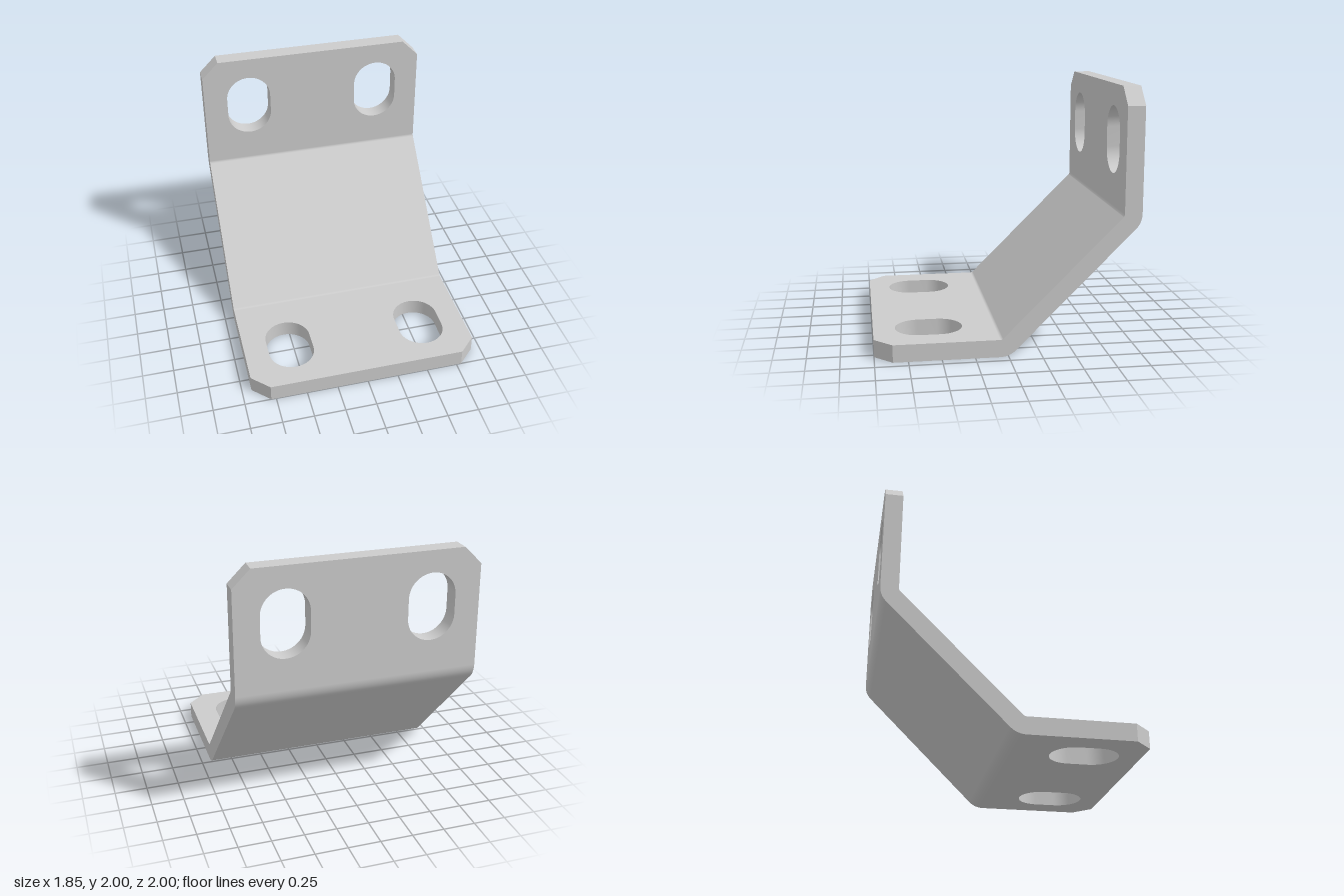
import * as THREE from 'three';
import { toCreasedNormals } from 'three/addons/utils/BufferGeometryUtils.js';

const W = 0.925;            // half width
const T = 0.135;            // plate thickness
const L = 0.936;            // flange length up to the bend
const CH = 0.135;           // corner chamfer
const R_IN = 0.03, R_OUT = R_IN + T; // bend radii

// Flat flange with chamfered far corners and two slots; the seam edge is at y = 0
function flangeGeometry() {
  const shape = new THREE.Shape([
    [-W, 0], [W, 0], [W, L - CH], [W - CH, L], [-W + CH, L], [-W, L - CH],
  ].map(([x, y]) => new THREE.Vector2(x, y)));
  const r = 0.183, half = 0.077, cy = 0.508;
  for (const cx of [-0.55, 0.55]) {
    const slot = new THREE.Path();
    slot.absarc(cx, cy + half, r, 0, Math.PI, false);
    slot.absarc(cx, cy - half, r, Math.PI, Math.PI * 2, false);
    slot.closePath();
    shape.holes.push(slot);
  }
  const full = new THREE.ExtrudeGeometry(shape, { depth: T, bevelEnabled: false, curveSegments: 24 });
  // Leave out the end face hidden inside the seam
  const p = full.attributes.position, kept = [];
  for (let i = 0; i < p.count; i += 3) {
    if ([0, 1, 2].every((k) => p.getY(i + k) < 1e-5)) continue;
    for (let k = 0; k < 3; k++) kept.push(p.getX(i + k), p.getY(i + k), p.getZ(i + k));
  }
  const g = new THREE.BufferGeometry();
  g.setAttribute('position', new THREE.Float32BufferAttribute(kept, 3));
  return toCreasedNormals(g, Math.PI / 6);
}

// Sloping web with a rounded 45 degree bend at each end
function webGeometry() {
  const sections = [];
  const steps = 8;
  const bends = [{ y: R_OUT, z: 1 - L, start: 0 }, { y: 2 - L, z: -1 + R_OUT, start: Math.PI / 4 }];
  for (const c of bends) {
    for (let i = 0; i <= steps; i++) {
      const a = c.start + (i / steps) * Math.PI / 4;
      const n = new THREE.Vector3(0, -Math.cos(a), -Math.sin(a));
      const centre = new THREE.Vector3(0, c.y, c.z);
      sections.push({
        n,
        outer: centre.clone().addScaledVector(n, R_OUT),
        inner: centre.clone().addScaledVector(n, R_IN),
      });
    }
  }
  const pos = [], nor = [];
  const quad = (corners) => {
    for (const k of [0, 1, 2, 0, 2, 3]) {
      const [x, point, normal] = corners[k];
      pos.push(x, point.y, point.z);
      nor.push(normal.x, normal.y, normal.z);
    }
  };
  const right = new THREE.Vector3(-1, 0, 0), left = new THREE.Vector3(1, 0, 0);
  for (let i = 0; i < sections.length - 1; i++) {
    const a = sections[i], b = sections[i + 1];
    const an = a.n.clone().negate(), bn = b.n.clone().negate();
    quad([[W, a.outer, a.n], [-W, a.outer, a.n], [-W, b.outer, b.n], [W, b.outer, b.n]]);
    quad([[-W, a.inner, an], [W, a.inner, an], [W, b.inner, bn], [-W, b.inner, bn]]);
    quad([[W, a.outer, left], [W, b.outer, left], [W, b.inner, left], [W, a.inner, left]]);
    quad([[-W, a.inner, right], [-W, b.inner, right], [-W, b.outer, right], [-W, a.outer, right]]);
  }
  const g = new THREE.BufferGeometry();
  g.setAttribute('position', new THREE.Float32BufferAttribute(pos, 3));
  g.setAttribute('normal', new THREE.Float32BufferAttribute(nor, 3));
  return g;
}

export function createModel() {
  const group = new THREE.Group();
  group.name = 'angleBracket';
  const material = new THREE.MeshStandardMaterial({ color: 0xcccccc });
  const add = (name, geometry) => {
    const mesh = new THREE.Mesh(geometry, material);
    mesh.name = name;
    group.add(mesh);
  };

  // Base flange lies on the ground, upright flange stands at the back
  add('baseFlange', flangeGeometry().rotateX(Math.PI / 2).translate(0, T, 1 - L));
  add('uprightFlange', flangeGeometry().translate(0, 2 - L, -1));
  add('slopingWeb', webGeometry());
  return group;
}
